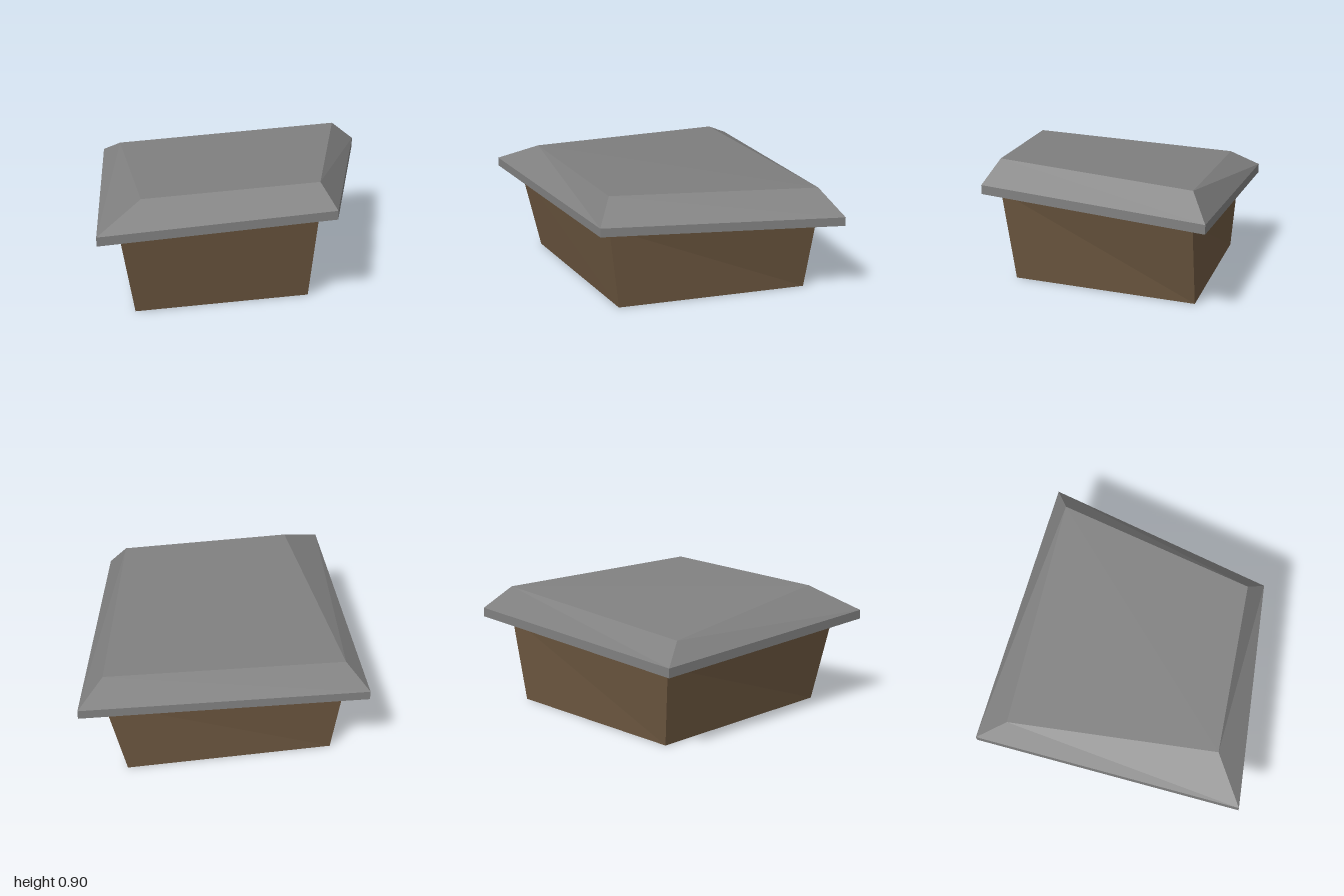
import * as THREE from 'three';

// Every loop runs front-left, front-right, back-right, back-left as [x, y, z]
const wallFoot = [[-0.76, 0, 0.715], [0.475, 0, 0.53], [0.675, 0, -0.84], [-0.785, 0, -0.8]];
const wallHead = [[-0.85, 0.61, 0.825], [0.535, 0.655, 0.615], [0.815, 0.597, -0.845], [-0.85, 0.56, -0.84]];
const eaveLow = [[-1, 0.61, 0.96], [0.65, 0.658, 0.72], [1, 0.597, -0.97], [-1, 0.55, -0.97]];
const eaveHigh = eaveLow.map(([x, y, z]) => [x, y + 0.065, z]);
const crown = [[-0.7, 0.848, 0.725], [0.535, 0.898, 0.613], [0.815, 0.836, -0.845], [-0.865, 0.735, -0.77]];

// Flat-shaded mesh from a list of triangles
function facets(name, triangles, material) {
  const geometry = new THREE.BufferGeometry();
  geometry.setAttribute('position', new THREE.Float32BufferAttribute(triangles.flat(2), 3));
  geometry.computeVertexNormals();
  const mesh = new THREE.Mesh(geometry, material);
  mesh.name = name;
  return mesh;
}

// Ring of faces joining a lower loop to an upper loop
function band(low, high) {
  return low.flatMap((a, i) => {
    const j = (i + 1) % low.length;
    return [[a, low[j], high[i]], [low[j], high[j], high[i]]];
  });
}

export function createModel() {
  const wood = new THREE.MeshStandardMaterial({ name: 'brown wall', color: 0x6b563f, side: THREE.DoubleSide });
  const slate = new THREE.MeshStandardMaterial({ name: 'grey roof', color: 0x808080, side: THREE.DoubleSide });

  const model = new THREE.Group();
  model.name = 'hut';
  const roof = new THREE.Group();
  roof.name = 'roof';

  // Hollow roof shell: upright eave, sloping sides and a nearly flat crown
  const [fl, fr, br, bl] = crown;
  roof.add(
    facets('eave', band(eaveLow, eaveHigh), slate),
    facets('roofSlopes', band(eaveHigh, crown), slate),
    facets('roofCrown', [[fl, fr, br], [fl, br, bl]], slate)
  );

  // Open-bottomed walls flaring upwards
  model.add(facets('walls', band(wallFoot, wallHead), wood), roof);
  return model;
}
